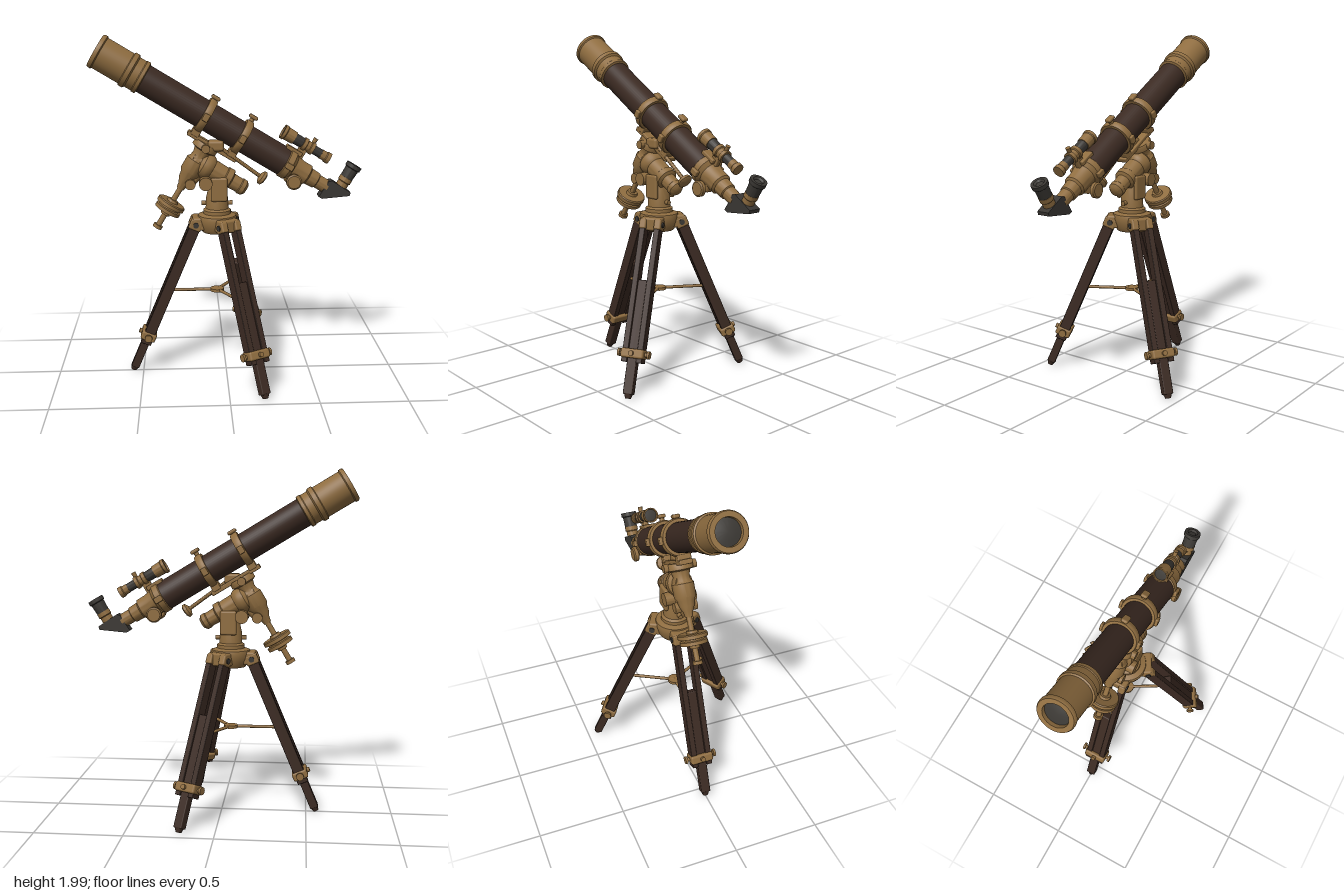
import * as THREE from 'three';
import { toCreasedNormals } from 'three/addons/utils/BufferGeometryUtils.js';
import { RoundedBoxGeometry } from 'three/addons/geometries/RoundedBoxGeometry.js';

const material = (name, color) => Object.assign(new THREE.MeshStandardMaterial({ color }), { name });
const V = (x, y, z = 0) => new THREE.Vector3(x, y, z);

export function createModel() {
  const brass = material('brass', 0x8f6d40);
  const wood = material('darkWood', 0x3b2a22);
  const black = material('blackMetal', 0x3a3733);

  const add = (parent, name, geo, mat) => {
    const mesh = new THREE.Mesh(geo, mat);
    mesh.name = name;
    parent.add(mesh);
    return mesh;
  };
  const group = (parent, name) => {
    const g = new THREE.Group();
    g.name = name;
    parent.add(g);
    return g;
  };
  // Turned part: profile of [radius, distance] pairs running along axis from origin
  const turned = (parent, name, profile, mat, origin = V(0, 0), axis = V(1, 0)) => {
    const lathe = new THREE.LatheGeometry(profile.map(([r, t]) => new THREE.Vector2(r, t)), 40);
    const mesh = add(parent, name, toCreasedNormals(lathe, 0.6), mat);
    mesh.position.copy(origin);
    mesh.quaternion.setFromUnitVectors(V(0, 1), axis.clone().normalize());
    return mesh;
  };
  // Straight round bar between two points
  const rod = (parent, name, a, b, r, mat, rEnd = r) => {
    const len = a.distanceTo(b);
    return turned(parent, name, [[0, 0], [r, 0], [rEnd, len], [0, len]], mat, a, b.clone().sub(a));
  };
  const box = (parent, name, w, h, d, x, y, z, mat, round = 0.006) => {
    const mesh = add(parent, name, new RoundedBoxGeometry(w, h, d, 2, round), mat);
    mesh.position.set(x, y, z);
    return mesh;
  };

  const model = new THREE.Group();
  model.name = 'telescope';

  // Tilted frame: x runs down the optical axis, y is square to it
  const scope = group(model, 'opticalTube');
  scope.position.set(-0.725, 1.915, 0);
  scope.rotation.z = -THREE.MathUtils.degToRad(31);

  turned(scope, 'dewCap', [[0.066, 0.05], [0.07, 0], [0.097, 0], [0.102, 0.008], [0.102, 0.024],
    [0.095, 0.03], [0.095, 0.195], [0.104, 0.2], [0.104, 0.226], [0.093, 0.235], [0.093, 0.275],
    [0.097, 0.28], [0.097, 0.3], [0.084, 0.305]], brass);
  turned(scope, 'lens', [[0, 0.012], [0.04, 0.015], [0.071, 0.022], [0, 0.05]], black);
  turned(scope, 'mainTube', [[0, 0.25], [0.084, 0.25], [0.084, 1.255], [0, 1.255]], wood);

  // Clamping rings with hinge lugs and top screws
  for (const [t, top] of [[0.71, 0.115], [0.95, 0.13]]) {
    turned(scope, 'tubeRing', [[0.083, t - 0.022], [0.1, t - 0.022], [0.105, t - 0.012],
      [0.105, t + 0.012], [0.1, t + 0.022], [0.083, t + 0.022]], brass);
    for (const s of [-1, 1]) box(scope, 'ringLug', 0.035, 0.045, 0.03, t, 0, s * 0.103, brass);
    rod(scope, 'ringScrew', V(t, 0.09), V(t, top), 0.014, brass);
    box(scope, 'ringScrewHead', 0.055, 0.022, 0.04, t, top, 0, brass, 0.01);
    box(scope, 'ringFoot', 0.05, 0.04, 0.08, t, -0.11, 0, brass);
  }

  // Focuser, knobs and right-angle prism
  turned(scope, 'focuser', [[0.084, 1.235], [0.09, 1.24], [0.09, 1.275], [0.07, 1.295], [0.062, 1.34],
    [0.062, 1.39], [0.05, 1.4], [0.047, 1.455], [0.04, 1.46], [0.04, 1.53], [0, 1.53]], brass);
  box(scope, 'focuserHousing', 0.07, 0.06, 0.1, 1.325, -0.05, 0, brass, 0.015);
  rod(scope, 'focusAxle', V(1.331, -0.063, -0.09), V(1.331, -0.063, 0.09), 0.015, brass);
  for (const s of [-1, 1]) {
    turned(scope, 'focusKnob', [[0, 0], [0.036, 0], [0.044, 0.006], [0.044, 0.026], [0.036, 0.032], [0, 0.032]],
      brass, V(1.331, -0.063, s * 0.068), V(0, 0, s));
    box(scope, 'focuserLug', 0.05, 0.035, 0.025, 1.262, 0.0, s * 0.092, brass);
  }
  const prism = new THREE.Shape();
  [[1.512, -0.07], [1.535, -0.07], [1.665, 0.025], [1.66, 0.045], [1.53, 0.05], [1.515, 0.035]]
    .forEach(([x, y], i) => (i ? prism.lineTo(x, y) : prism.moveTo(x, y)));
  add(scope, 'prismHousing', new THREE.ExtrudeGeometry(prism, { depth: 0.076, bevelEnabled: false }), black)
    .position.z = -0.038;
  turned(scope, 'eyepieceBarrel', [[0, 0.03], [0.034, 0.03], [0.034, 0.075], [0.039, 0.08], [0.039, 0.105], [0, 0.105]],
    brass, V(1.6, 0), V(0, 1));
  turned(scope, 'eyepiece', [[0, 0.1], [0.037, 0.1], [0.04, 0.165], [0.047, 0.17], [0.047, 0.193],
    [0.03, 0.193], [0.02, 0.183], [0, 0.183]], black, V(1.6, 0), V(0, 1));

  // Finder scope and its bracket
  const finder = group(scope, 'finderScope');
  finder.position.set(0, 0.147, 0);
  turned(finder, 'finderHood', [[0, 1.15], [0.034, 1.148], [0.036, 1.137], [0.043, 1.137], [0.043, 1.155],
    [0.039, 1.16], [0.037, 1.215], [0, 1.215]], brass);
  turned(finder, 'finderLens', [[0, 1.143], [0.034, 1.146], [0, 1.152]], black);
  turned(finder, 'finderTube', [[0, 1.2], [0.033, 1.2], [0.03, 1.28], [0.026, 1.29], [0.026, 1.42], [0, 1.42]], black);
  turned(finder, 'finderRing', [[0.02, 1.27], [0.038, 1.272], [0.038, 1.293], [0.031, 1.297], [0.031, 1.318],
    [0.037, 1.322], [0.037, 1.343], [0.02, 1.345]], brass);
  turned(finder, 'finderEyepiece', [[0, 1.395], [0.028, 1.395], [0.028, 1.425], [0.033, 1.43], [0.033, 1.453], [0, 1.453]], brass);
  rod(finder, 'finderScrew', V(1.325, 0.02), V(1.325, 0.062), 0.01, brass, 0.014);
  box(scope, 'finderPost', 0.05, 0.07, 0.03, 1.29, 0.095, 0, brass);
  box(scope, 'finderFoot', 0.1, 0.026, 0.07, 1.25, 0.085, 0, brass);

  // Equatorial mount, sharing the tilt of the tube
  const mount = group(scope, 'equatorialHead');
  box(mount, 'saddlePlate', 0.32, 0.028, 0.075, 0.83, -0.132, 0, brass);
  turned(mount, 'declinationHousing', [[0, 0.135], [0.07, 0.135], [0.075, 0.145], [0.075, 0.172], [0.055, 0.18],
    [0.046, 0.21], [0.05, 0.235], [0.062, 0.25], [0.062, 0.325], [0.05, 0.345], [0.045, 0.375],
    [0.028, 0.41], [0.022, 0.44], [0, 0.44]], brass, V(0.8, 0), V(0, -1));
  rod(mount, 'counterweightShaft', V(0.8, -0.42), V(0.8, -0.7), 0.016, brass);
  turned(mount, 'counterweight', [[0, 0.515], [0.03, 0.515], [0.035, 0.53], [0.08, 0.53], [0.085, 0.536], [0.085, 0.556],
    [0.065, 0.56], [0.065, 0.568], [0.078, 0.572], [0.078, 0.592], [0.03, 0.6], [0.028, 0.615], [0, 0.615]],
  brass, V(0.8, 0), V(0, -1));
  rod(mount, 'shaftStop', V(0.8, -0.688), V(0.8, -0.708), 0.028, brass);
  turned(mount, 'polarHousing', [[0, 0.77], [0.05, 0.77], [0.055, 0.82], [0.073, 0.84], [0.076, 0.865], [0.072, 0.885],
    [0.06, 0.9], [0.057, 0.98], [0.063, 0.985], [0.063, 1.02], [0.045, 1.03], [0.043, 1.085],
    [0.048, 1.09], [0.046, 1.115], [0.03, 1.13], [0, 1.135]], brass, V(0, -0.25));
  for (const s of [-1, 1]) {
    rod(mount, 'declinationBolt', V(0.8, -0.155, s * 0.05), V(0.8, -0.155, s * 0.095), 0.024, brass);
  }

  // Slow-motion control with hand knob
  const knobA = V(-0.03, 1.365, 0.03), knobB = V(0.215, 1.185, 0.03);
  rod(model, 'slowMotionRod', knobA, knobB, 0.011, brass);
  turned(model, 'slowMotionKnob', [[0, 0], [0.018, 0], [0.04, 0.012], [0.042, 0.028], [0.03, 0.036], [0, 0.036]],
    brass, V(0.19, 1.203, 0.03), knobB.clone().sub(knobA));
  box(model, 'wormHousing', 0.09, 0.06, 0.08, -0.06, 1.38, 0.02, brass, 0.015);

  // Everything below is centred on the pillar
  const stand = group(model, 'tripod');
  stand.position.x = -0.053;
  turned(stand, 'pillar', [[0, 0.87], [0.085, 0.87], [0.1, 0.89], [0.115, 0.95], [0.11, 0.97], [0.08, 0.98],
    [0.08, 1.0], [0.066, 1.01], [0.064, 1.07], [0.055, 1.11], [0.05, 1.14], [0, 1.14]], brass, V(0, 0), V(0, 1));
  for (const s of [-1, 1]) {
    box(stand, 'forkCheek', 0.095, 0.14, 0.025, 0.01, 1.13, s * 0.062, brass, 0.012);
    rod(stand, 'altitudeKnob', V(-0.067, 1.168, s * 0.035), V(-0.067, 1.168, s * 0.092), 0.038, brass);
    rod(stand, 'clutchKnob', V(-0.155, 1.16, s * 0.03), V(-0.155, 1.16, s * 0.065), 0.03, brass);
    rod(stand, 'azimuthScrew', V(s * 0.06, 1.04), V(s * 0.09, 1.04), 0.013, brass);
  }
  rod(stand, 'clutchAxle', V(-0.155, 1.16), V(-0.1, 1.22), 0.03, brass);
  rod(stand, 'braceHub', V(0, 0.503), V(0, 0.52), 0.04, brass);

  // Three wooden legs, each a pair of rails around a sliding foot
  for (const turn of [0, 1, 2]) {
    const arm = group(stand, 'legAssembly');
    arm.rotation.y = Math.PI + turn * Math.PI * 2 / 3;
    box(arm, 'hubLug', 0.1, 0.075, 0.13, 0.095, 0.925, 0, brass, 0.012);
    rod(arm, 'braceRod', V(0, 0.512), V(0.285, 0.512), 0.009, brass);

    const leg = group(arm, 'leg');
    leg.position.set(0.12, 0.93, 0);
    leg.rotation.z = 0.398;
    for (const s of [-1, 1]) {
      box(leg, 'legRail', 0.064, 0.77, 0.034, 0, -0.415, s * 0.044, wood, 0.004);
      box(leg, 'railCap', 0.074, 0.06, 0.042, 0, -0.012, s * 0.045, brass, 0.01);
      rod(leg, 'clampBolt', V(0, -0.75, s * 0.06), V(0, -0.75, s * 0.085), 0.012, brass);
      rod(leg, 'clampBoltHead', V(0, -0.75, s * 0.082), V(0, -0.75, s * 0.095), 0.022, brass);
    }
    rod(leg, 'legPivot', V(0, -0.01, -0.072), V(0, -0.01, 0.072), 0.016, black);
    box(leg, 'legSlide', 0.048, 0.64, 0.056, 0, -0.655, 0, wood, 0.006);
    rod(leg, 'footTip', V(0, -0.97), V(0, -0.998), 0.026, wood, 0.016);
    box(leg, 'legClamp', 0.09, 0.052, 0.136, 0, -0.75, 0, brass, 0.012);
    rod(leg, 'clampScrew', V(0.03, -0.75), V(0.06, -0.75), 0.014, brass);
  }
  return model;
}
